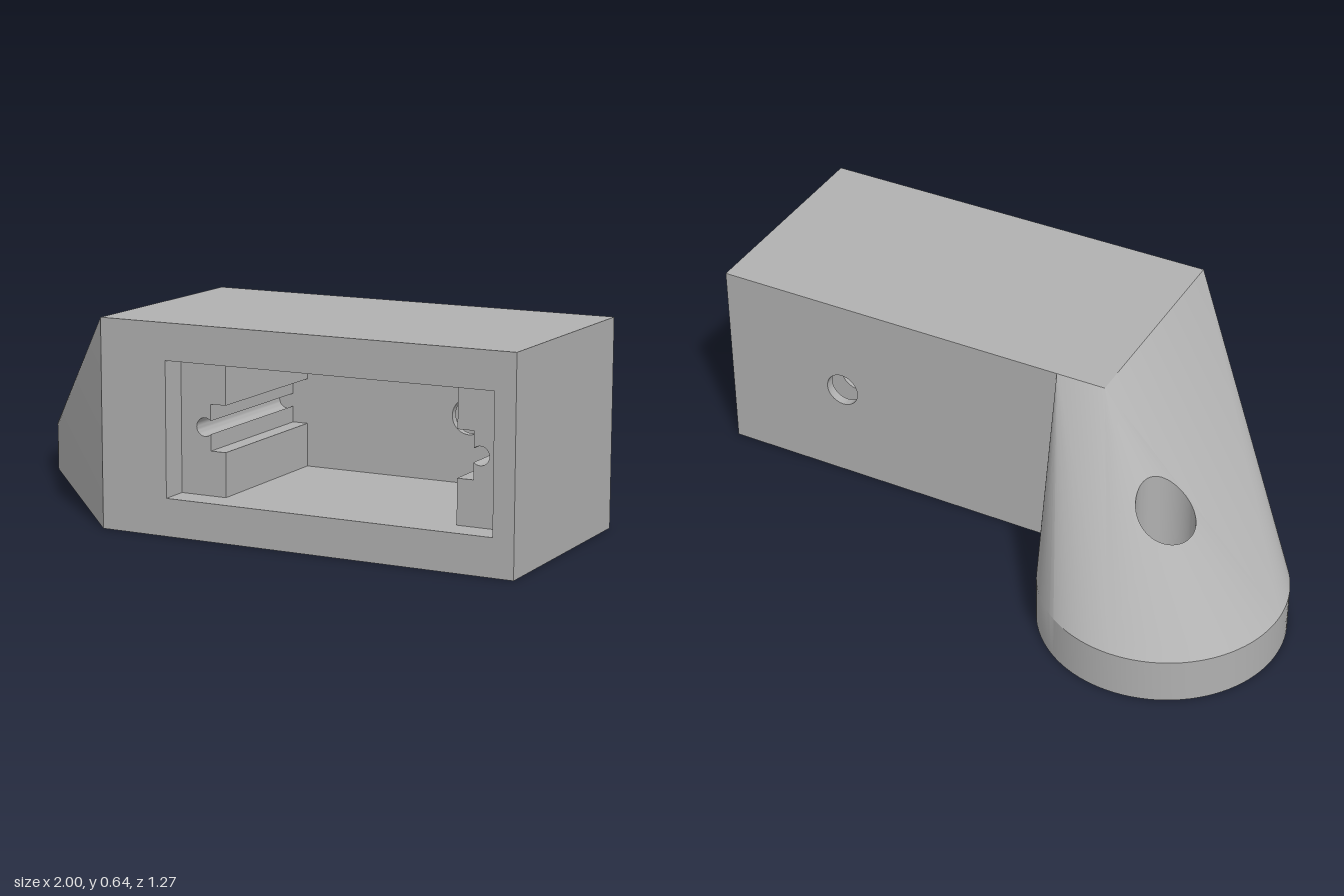
import * as THREE from 'three';
import { toCreasedNormals } from 'three/addons/utils/BufferGeometryUtils.js';

const H = 0.637, BACK = -0.08, FRONT = 0.635; // block height and depth limits
const CUT = -0.25, CORNER = -0.33, HEEL = -0.17; // where arm meets block, hull edges
const C = [-0.62, -0.255], R = 0.38, RIM = 0.145, BORE = 0.09; // arm disc
const SLOT_END = [-0.39, 0.17], SLOT_R = 0.094, SLOT_H = 0.07;

const polar = (c, r, a) => [c[0] + r * Math.cos(a), c[1] + r * Math.sin(a)];
const arc = (c, r, a0, a1, n) =>
  Array.from({ length: n + 1 }, (_, i) => polar(c, r, a0 + ((a1 - a0) * i) / n));
const shapeOf = (pts) => new THREE.Shape(pts.map((p) => new THREE.Vector2(p[0], p[1])));
const rect = (x0, y0, x1, y1) => [[x0, y0], [x1, y0], [x1, y1], [x0, y1]];

export function createModel() {
  const model = new THREE.Group();
  const grey = new THREE.MeshStandardMaterial({ color: 0xb0b0b0, side: THREE.DoubleSide });
  grey.name = 'greyPlastic';
  const add = (parent, name, geometry) => {
    const mesh = new THREE.Mesh(geometry, grey);
    mesh.name = name;
    parent.add(mesh);
  };

  // ---- Housing block: cross-sections stacked along z ----
  const block = new THREE.Group();
  block.name = 'housing';
  model.add(block);
  const slab = (name, z0, z1, outline, hole) => {
    const s = shapeOf(outline);
    if (hole) s.holes.push(shapeOf(hole));
    const g = new THREE.ExtrudeGeometry(s, { depth: z1 - z0, bevelEnabled: false });
    g.translate(0, 0, z0);
    add(block, name, toCreasedNormals(g, 0.5));
  };
  const outer = rect(CUT, 0, 1, H);
  const mid = 0.4125;
  // Pocket outline: stepped sides with a round screw channel, mirrored
  const side = [[0.3725, 0.115], [0.3725, 0.25], [0.4225, 0.25],
    ...arc([0.4425, 0.32], 0.028, -Math.PI * 0.75, Math.PI * 0.75, 20),
    [0.4225, 0.39], [0.3725, 0.39], [0.3725, 0.525]];
  const pocket = [...side.map(([x, y]) => [mid + x, y]),
    ...side.slice().reverse().map(([x, y]) => [mid - x, y])];
  const boltHole = arc([0.588, 0.32], 0.055, 0, Math.PI * 2, 40).slice(0, -1);
  // Nut slot open at the bottom
  const notched = [[CUT, 0], [0.49, 0], [0.49, 0.43], [0.687, 0.43], [0.687, 0],
    [1, 0], [1, H], [CUT, H]];
  slab('frontFrame', 0.545, FRONT, outer, rect(-0.11, 0.115, 0.935, 0.525));
  slab('pocketBody', 0.035, 0.545, outer, pocket);
  slab('pocketBackWall', 0.01, 0.035, outer, boltHole);
  slab('nutSlotLayer', -0.05, 0.01, notched);
  slab('rearWall', BACK, -0.05, outer, boltHole);

  // ---- Arm: hull from the low disc up to the block's end ----
  const arm = new THREE.Group();
  arm.name = 'arm';
  model.add(arm);
  const v = [];
  const at = ([x, z], y) => [x, y, z];
  const tri = (a, b, c) => v.push(...a, ...b, ...c);
  const quad = (a, b, c, d) => { tri(a, b, c); tri(a, c, d); };

  const P1 = [CORNER, BACK], P2 = [HEEL, BACK], P3 = [CORNER, FRONT];
  const tangent = (p, sign) => {
    const dx = p[0] - C[0], dz = p[1] - C[1];
    return Math.atan2(dz, dx) + sign * Math.acos(R / Math.hypot(dx, dz));
  };
  const a3 = tangent(P3, 1), aQ1 = Math.PI, aQ2 = Math.PI * 1.5;
  const a2 = tangent(P2, -1) + Math.PI * 2;
  const Q1 = polar(C, R, aQ1), Q2 = polar(C, R, aQ2);

  // Vertical walls around the outline
  const rim = [...arc(C, R, a3, aQ1, 12), ...arc(C, R, aQ1, aQ2, 24).slice(1),
    ...arc(C, R, aQ2, a2, 20).slice(1)];
  const outline = [[CUT, FRONT], P3, ...rim, P2, [CUT, BACK]];
  const topOf = (i) => (i < 2 || i > rim.length + 1 ? H : RIM);
  for (let i = 0; i < outline.length - 2; i++) {
    const a = outline[i], b = outline[i + 1];
    quad(at(a, 0), at(a, topOf(i)), at(b, topOf(i + 1)), at(b, 0));
  }

  // Flat top strip and flat slopes
  quad([CUT, H, FRONT], [CUT, H, BACK], [CORNER, H, BACK], [CORNER, H, FRONT]);
  tri(at(P3, H), at(P1, H), at(Q1, RIM));
  tri(at(P1, H), at(P2, H), at(Q2, RIM));

  // Conical slopes running from a corner to the disc rim
  const fan = (p, a0, a1, n) => {
    const pts = arc(C, R, a0, a1, n);
    for (let i = 0; i < n; i++) tri(at(p, H), at(pts[i + 1], RIM), at(pts[i], RIM));
  };
  fan(P3, a3, aQ1, 12);
  fan(P2, aQ2, a2, 20);

  // Middle cone, pierced by the bore: rings from bore edge to patch edge
  const coneY = ([x, z]) => {
    const dx = x - P1[0], dz = z - P1[1], ex = P1[0] - C[0], ez = P1[1] - C[1];
    const A = dx * dx + dz * dz;
    if (A < 1e-10) return H;
    const B = dx * ex + dz * ez, D = ex * ex + ez * ez - R * R;
    return H + ((RIM - H) * A) / (-B + Math.sqrt(B * B - A * D));
  };
  const reach = (a, u, w) => { // distance from the bore axis to line u-w
    const ex = w[0] - u[0], ez = w[1] - u[1];
    return ((u[0] - C[0]) * ez - (u[1] - C[1]) * ex) / (Math.cos(a) * ez - Math.sin(a) * ex);
  };
  const aP1 = Math.atan2(P1[1] - C[1], P1[0] - C[0]) + Math.PI * 2;
  const spokes = [];
  const spread = (a0, a1, n, radius) => {
    for (let i = 0; i < n; i++) {
      const a = a0 + ((a1 - a0) * i) / n;
      spokes.push([a, radius(a)]);
    }
  };
  spread(aQ1, aQ2, 24, () => R);
  spread(aQ2, aP1, 24, (a) => reach(a, Q2, P1));
  spread(aP1, aQ1 + Math.PI * 2, 24, (a) => reach(a, P1, Q1));
  const RINGS = 8;
  const node = ([a, r], j) => {
    const p = polar(C, BORE + ((r - BORE) * j) / RINGS, a);
    return at(p, coneY(p));
  };
  const bore = [];
  spokes.forEach((s, i) => {
    const t = spokes[(i + 1) % spokes.length];
    for (let j = 0; j < RINGS; j++) quad(node(s, j), node(t, j), node(t, j + 1), node(s, j + 1));
    const a = polar(C, BORE, s[0]), b = polar(C, BORE, t[0]);
    bore.push(a);
    quad(at(b, SLOT_H), node(t, 0), node(s, 0), at(a, SLOT_H)); // bore wall
  });

  // Slot walls on the underside
  const th = Math.atan2(SLOT_END[1] - C[1], SLOT_END[0] - C[0]), q = Math.PI / 2;
  const slot = [...arc(SLOT_END, SLOT_R, th - q, th + q, 20), ...arc(C, SLOT_R, th + q, th + 3 * q, 20)];
  slot.forEach((a, i) => {
    const b = slot[(i + 1) % slot.length];
    quad(at(b, 0), at(b, SLOT_H), at(a, SLOT_H), at(a, 0));
  });
  const skin = new THREE.BufferGeometry();
  skin.setAttribute('position', new THREE.Float32BufferAttribute(v, 3));
  add(arm, 'armSkin', toCreasedNormals(skin, 0.5));

  // Flat underside and slot ceiling
  const floor = (name, pts, hole, y) => {
    const s = shapeOf(pts);
    s.holes.push(shapeOf(hole));
    add(arm, name, new THREE.ShapeGeometry(s).rotateX(Math.PI / 2).translate(0, y, 0));
  };
  floor('armUnderside', outline, slot, 0);
  floor('slotCeiling', slot, bore, SLOT_H);
  return model;
}
